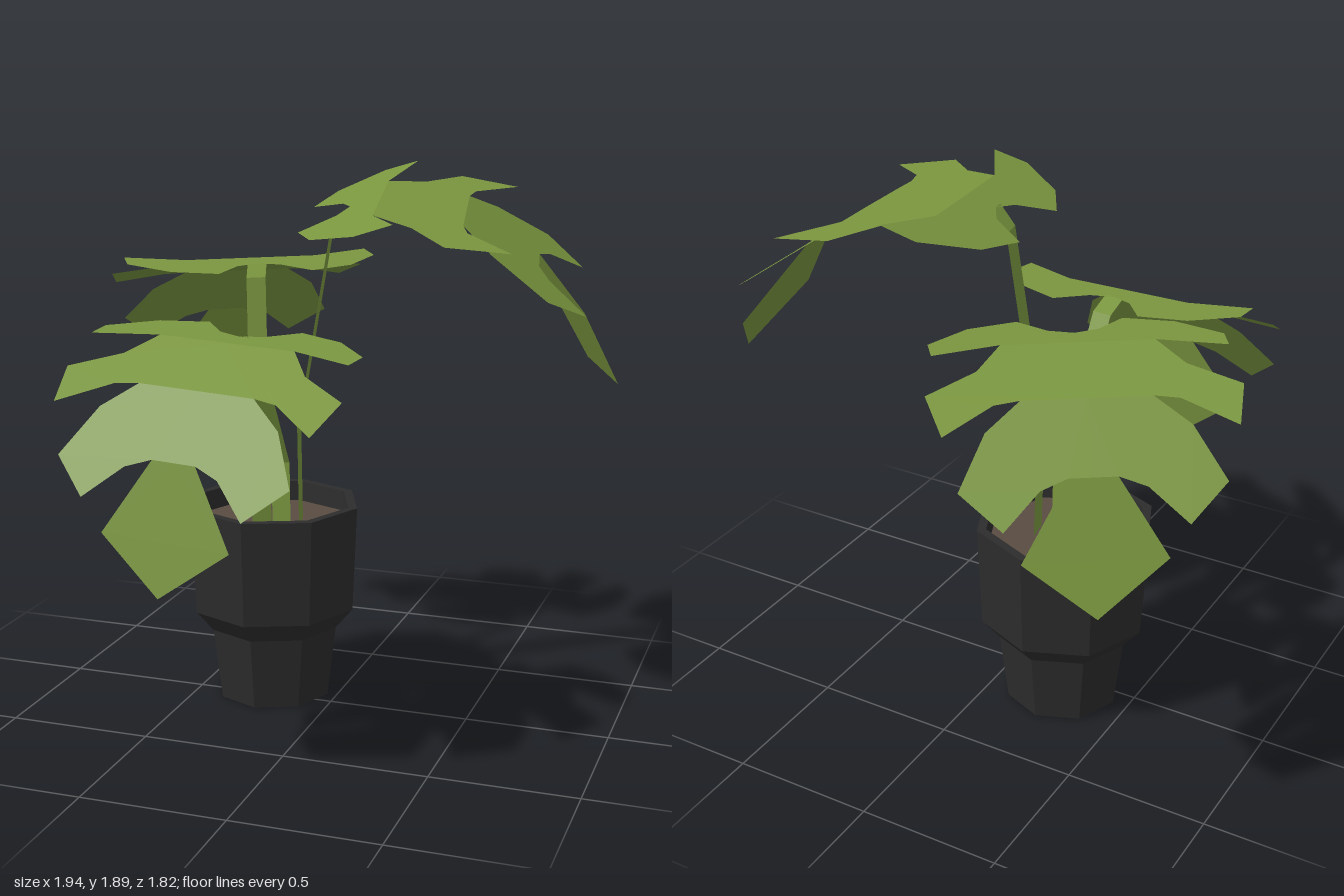
import * as THREE from 'three';
import { mergeGeometries } from 'three/addons/utils/BufferGeometryUtils.js';

const rad = THREE.MathUtils.degToRad;
const material = (color, side = THREE.FrontSide) =>
  new THREE.MeshStandardMaterial({ color, side, flatShading: true });

// Right half of each flat leaf section (across, along), from the stem to the tip.
// Each section starts at a crease and slopes down more steeply than the one before.
const SECTIONS = [
  { start: 0, end: 0.09, slope: 0, half: [[0, 0], [0.08, -0.03], [0.17, -0.13], [0.33, -0.075], [0.46, 0.06], [0.454, 0.165], [0.24, 0.09], [0, 0.09]] },
  { start: 0.09, end: 0.33, slope: 25, half: [[0, 0.09], [0.24, 0.09], [0.32, 0.2], [0.48, 0.295], [0.44, 0.465], [0.28, 0.345], [0.2, 0.33], [0, 0.33]] },
  { start: 0.33, end: 0.575, slope: 51, half: [[0, 0.33], [0.2, 0.33], [0.31, 0.425], [0.4, 0.605], [0.275, 0.73], [0.16, 0.61], [0.075, 0.575], [0, 0.575]] },
  { start: 0.575, end: 1, slope: 74, half: [[0, 0.575], [0.075, 0.575], [0.222, 0.825], [0, 1]] },
];

function leafGeometry() {
  const parts = [];
  let y = 0, z = 0;
  for (const { start, end, slope, half } of SECTIONS) {
    const right = half.map(([u, v]) => new THREE.Vector2(u, v - start));
    const left = right.filter((p) => p.x > 0).reverse().map((p) => new THREE.Vector2(-p.x, p.y));
    const a = rad(slope);
    const section = new THREE.ShapeGeometry(new THREE.Shape([...right, ...left]));
    section.rotateX(Math.PI / 2 + a).translate(0, y, z);
    parts.push(section);
    y -= Math.sin(a) * (end - start);
    z += Math.cos(a) * (end - start);
  }
  return mergeGeometries(parts);
}

// Flat ribbon along a path; it is as wide as given in the horizontal direction of yaw.
function ribbonGeometry(path, yaw, width) {
  const positions = [], index = [];
  path.forEach(([x, y, z], i) => {
    for (const s of [-0.5, 0.5]) {
      positions.push(x + Math.cos(yaw) * width * s, y, z - Math.sin(yaw) * width * s);
    }
    if (i > 0) {
      const k = i * 2;
      index.push(k - 2, k - 1, k, k - 1, k + 1, k);
    }
  });
  const geometry = new THREE.BufferGeometry();
  geometry.setAttribute('position', new THREE.Float32BufferAttribute(positions, 3));
  geometry.setIndex(index);
  geometry.computeVertexNormals();
  return geometry;
}

export function createModel() {
  const group = new THREE.Group();
  const potX = -0.24, potZ = -0.063;

  // Eight-sided pot with a stepped wall and a rim
  const profile = [[0, 0], [0.205, 0], [0.237, 0.26], [0.3, 0.335], [0.316, 0.712], [0.283, 0.712], [0.275, 0.6]]
    .map(([r, y]) => new THREE.Vector2(r, y));
  const pot = new THREE.Mesh(new THREE.LatheGeometry(profile, 8), material(0x2c2c2c, THREE.DoubleSide));
  pot.name = 'pot';
  pot.position.set(potX, 0, potZ);
  group.add(pot);

  const soil = new THREE.Mesh(new THREE.CircleGeometry(0.278, 8), material(0x594c42));
  soil.name = 'soil';
  soil.rotation.x = -Math.PI / 2;
  soil.position.set(potX, 0.64, potZ);
  group.add(soil);

  // Each stem runs from the soil to the notch of its leaf
  const stalks = [
    { name: 'front', yaw: -4.3, pitch: -4, roll: -2.5, scale: 1,
      path: [[-0.18, 0.63, 0.012], [-0.18, 0.88, 0.02], [-0.197, 1.35, 0.265], [-0.2, 1.38, 0.35]] },
    { name: 'back', yaw: -145, pitch: 6, roll: 0, scale: 1,
      path: [[-0.27, 0.63, -0.03], [-0.28, 0.95, -0.04], [-0.35, 1.49, -0.2], [-0.373, 1.53, -0.272]] },
    { name: 'tall', yaw: 100, pitch: 17, roll: 6, scale: 1.2,
      path: [[-0.14, 0.63, -0.08], [-0.135, 1.0, -0.05], [0, 1.715, -0.02], [0.065, 1.775, -0.005]] },
  ];
  const leafShape = leafGeometry();
  const leafMaterial = material(0x7a963f, THREE.DoubleSide);
  const stemMaterial = material(0x7a963f, THREE.DoubleSide);

  for (const { name, yaw, pitch, roll, scale, path } of stalks) {
    const stem = new THREE.Mesh(ribbonGeometry(path, rad(yaw), 0.07 * scale), stemMaterial);
    stem.name = `${name}Stem`;

    const leaf = new THREE.Mesh(leafShape, leafMaterial);
    leaf.name = `${name}Leaf`;
    leaf.position.set(...path[path.length - 1]);
    leaf.rotation.set(rad(-pitch), rad(yaw), rad(roll), 'YXZ');
    leaf.scale.setScalar(scale);
    group.add(stem, leaf);
  }
  return group;
}
